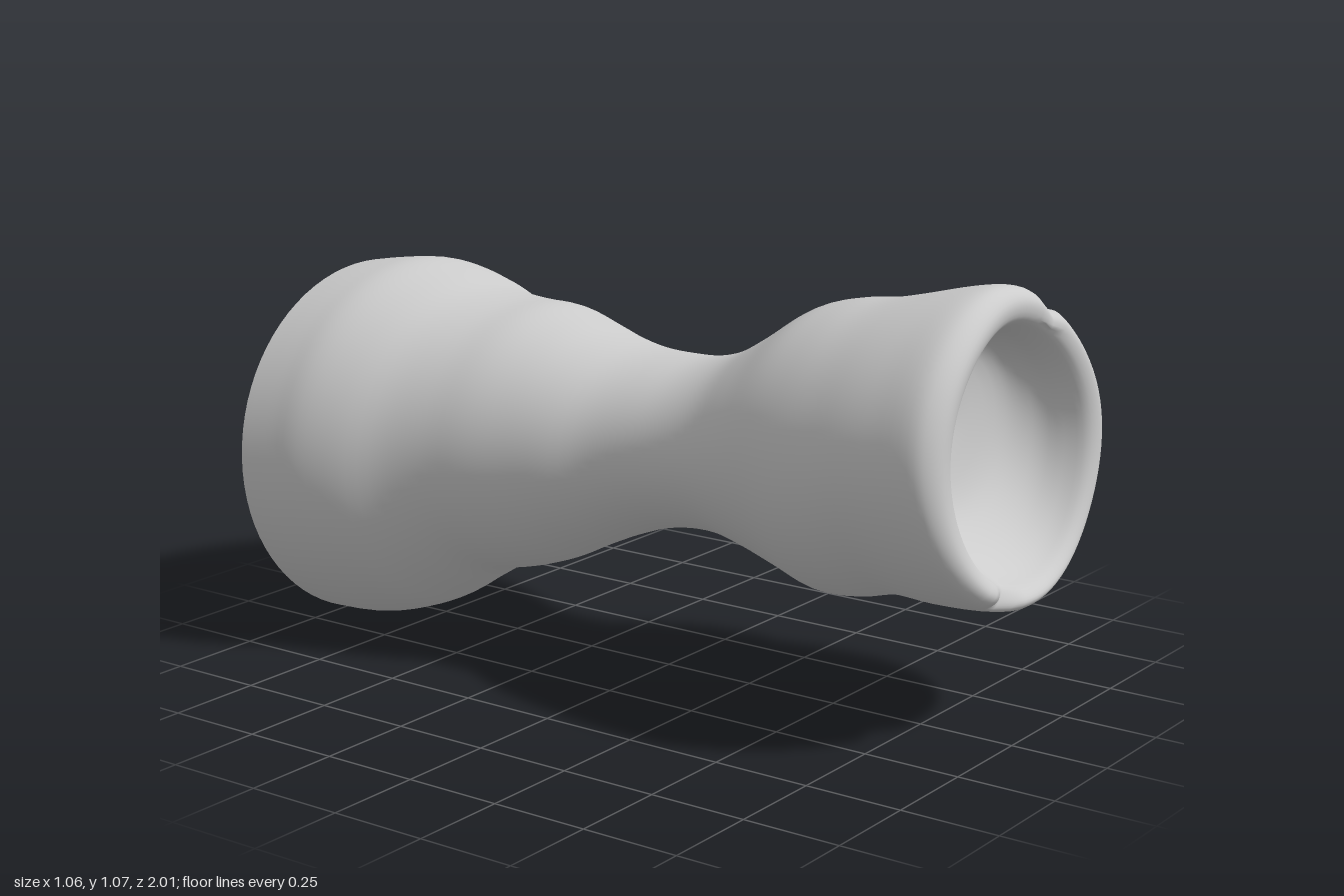
import * as THREE from 'three';

const SEGMENTS = 80;
const STEPS = 4; // rings between two sections

// Cross-sections from the flat back, over the rim and into the cup: z, top, bottom, right, left
const sections = [
  [-0.97, 0.95, 0.01, -0.53, 0.505], [-0.88, 0.965, 0.01, -0.52, 0.52],
  [-0.8, 0.97, 0.025, -0.51, 0.525], [-0.7, 0.945, 0.06, -0.475, 0.495],
  [-0.6, 0.915, 0.12, -0.42, 0.435], [-0.5, 0.9, 0.18, -0.38, 0.42],
  [-0.4, 0.895, 0.205, -0.35, 0.405], [-0.3, 0.87, 0.24, -0.315, 0.365],
  [-0.2, 0.84, 0.29, -0.28, 0.33], [-0.1, 0.82, 0.335, -0.24, 0.305],
  [0, 0.815, 0.37, -0.22, 0.295], [0.1, 0.82, 0.387, -0.215, 0.3],
  [0.2, 0.85, 0.385, -0.225, 0.325], [0.3, 0.91, 0.36, -0.255, 0.375],
  [0.4, 0.98, 0.32, -0.28, 0.435], [0.5, 1.01, 0.29, -0.305, 0.452],
  [0.6, 1.025, 0.3, -0.32, 0.445], [0.7, 1.045, 0.325, -0.33, 0.465],
  [0.8, 1.065, 0.32, -0.335, 0.485], [0.9, 1.08, 0.323, -0.335, 0.487],
  [0.945, 1.07, 0.33, -0.315, 0.47], [0.965, 1.04, 0.35, -0.275, 0.45],
  [0.95, 1.0, 0.375, -0.225, 0.412], [0.9, 0.975, 0.4, -0.2, 0.39],
  [0.83, 0.955, 0.46, -0.18, 0.36], [0.77, 0.91, 0.56, -0.11, 0.28],
  [0.745, 0.76, 0.74, 0.07, 0.09],
];

// Bell-shaped falloff around a value
const bump = (value, centre, width) => Math.exp(-(((value - centre) / width) ** 2));

function makeRings() {
  const heights = new THREE.CatmullRomCurve3(
    sections.map(([z, top, bottom]) => new THREE.Vector3(z, top, bottom)), false, 'catmullrom');
  const widths = new THREE.CatmullRomCurve3(
    sections.map(([z, , , right, left]) => new THREE.Vector3(z, right, left)), false, 'catmullrom');
  const count = (sections.length - 1) * STEPS;
  const rimRow = 21 * STEPS;
  const rings = [];
  for (let i = 0; i <= count; i++) {
    const h = heights.getPoint(i / count);
    const w = widths.getPoint(i / count);
    const cy = (h.y + h.z) / 2, ry = (h.y - h.z) / 2;
    const cx = (w.y + w.z) / 2, rx = (w.z - w.y) / 2;
    const z = h.x;
    // Both ends lean, the middle stays square
    const lean = -0.064 * (1 - THREE.MathUtils.smoothstep(z, -0.97, -0.6))
      - 0.11 * THREE.MathUtils.smoothstep(z, 0.6, 0.95);
    const lip = bump(i, rimRow, 6);
    const ring = [];
    for (let j = 0; j < SEGMENTS; j++) {
      const a = (j / SEGMENTS) * Math.PI * 2 - Math.PI;
      // Groove on top of the cup's outer wall
      const groove = i < rimRow + 3 ? 0.09 * bump(a, 1.02, 0.1) * bump(z, 0.86, 0.13) : 0;
      // Slight hand-made unevenness of the cup
      const wave = z > 0.3 ? 0.008 * Math.sin(5 * a + 7 * z) * (z - 0.3) : 0;
      const k = 1 - groove + wave;
      const dy = ry * k * Math.sin(a);
      // Nick and ripple in the lip
      const dz = lip * (0.007 * Math.sin(3 * a + 1) - 0.045 * bump(a, -1.92, 0.1));
      ring.push(new THREE.Vector3(cx + rx * k * Math.cos(a), cy + dy, z + lean * dy + dz));
    }
    rings.push(ring);
  }
  return rings;
}

// Skin joining successive closed rings
function loft(rings) {
  const index = [];
  for (let i = 0; i < rings.length - 1; i++) {
    for (let j = 0; j < SEGMENTS; j++) {
      const n = (j + 1) % SEGMENTS;
      const a = i * SEGMENTS + j, b = i * SEGMENTS + n;
      index.push(a, b, b + SEGMENTS, a, b + SEGMENTS, a + SEGMENTS);
    }
  }
  // Close the middle of the cup floor
  const last = (rings.length - 1) * SEGMENTS;
  for (let j = 1; j < SEGMENTS - 1; j++) index.push(last, last + j, last + j + 1);
  const geometry = new THREE.BufferGeometry().setFromPoints(rings.flat());
  geometry.setIndex(index);
  geometry.computeVertexNormals();
  return geometry;
}

// Flat disc facing backwards
function backDisc(ring) {
  const index = [];
  for (let j = 1; j < SEGMENTS - 1; j++) index.push(0, j + 1, j);
  const geometry = new THREE.BufferGeometry().setFromPoints(ring);
  geometry.setIndex(index);
  geometry.computeVertexNormals();
  return geometry;
}

export function createModel() {
  const group = new THREE.Group();
  const material = new THREE.MeshStandardMaterial({ color: 0xcccccc });
  const rings = makeRings();
  const add = (name, geometry) => {
    const mesh = new THREE.Mesh(geometry, material);
    mesh.name = name;
    group.add(mesh);
  };
  add('stemAndCup', loft(rings));
  add('flatBase', backDisc(rings[0]));
  return group;
}
